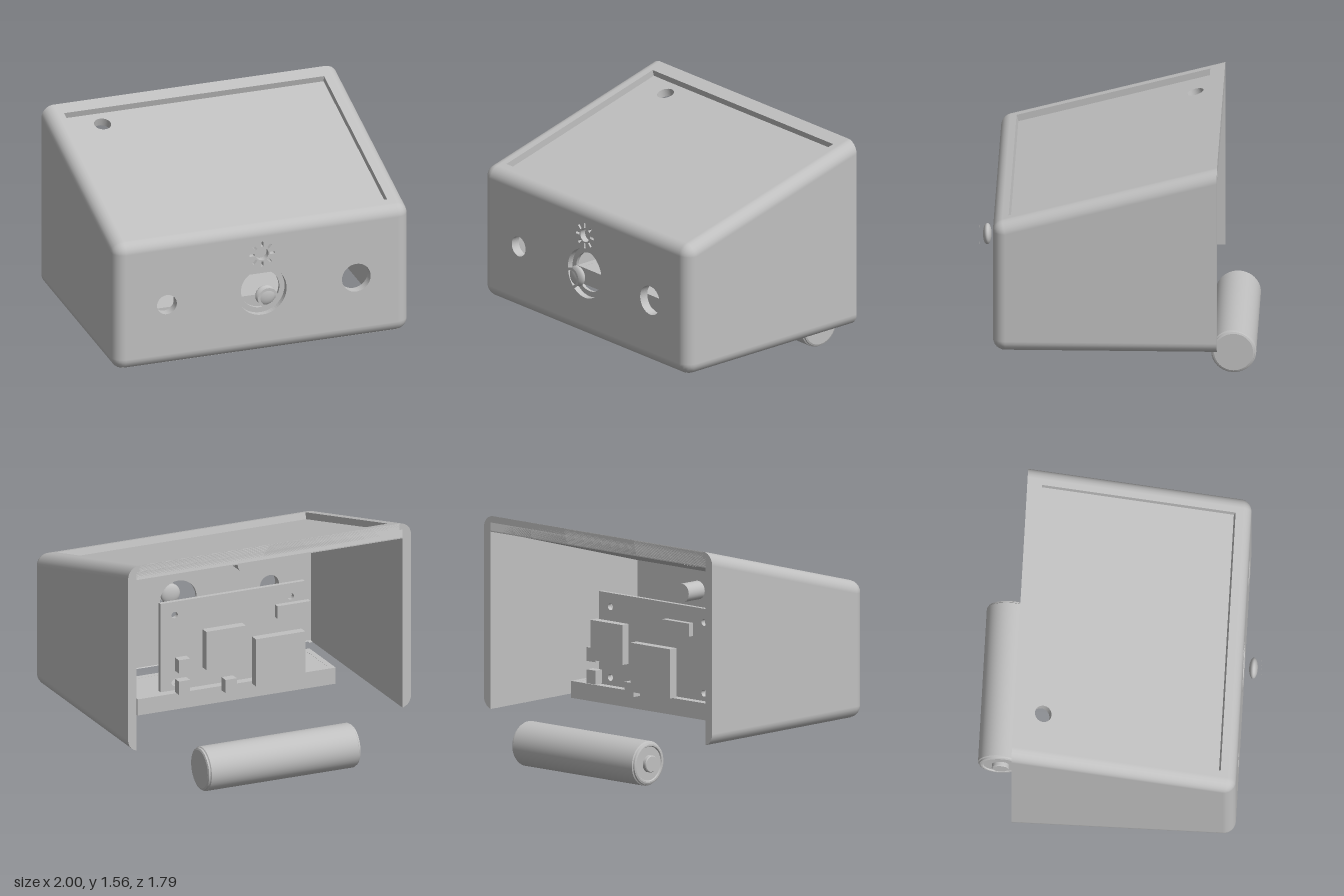
import * as THREE from 'three';

const R = 0.08, N = 6, A = Math.PI / 12;          // edge fillet, fillet segments, lid slope
const BACK = -0.655, FRONT = 0.78, BOTTOM = 0.3, TOP = 1.56;
const COS = Math.cos(A), SIN = Math.sin(A);
const topY = z => TOP - (z - BACK) * Math.tan(A);
const INNER_X = 0.94, INNER_Z = 0.72, CEILING = 0.1 / COS;

const grey = new THREE.MeshStandardMaterial({ color: 0xc0c0c0, side: THREE.DoubleSide });
grey.name = 'plain grey';

function add(parent, name, geometry, x = 0, y = 0, z = 0) {
  const mesh = new THREE.Mesh(geometry, grey);
  mesh.name = name;
  mesh.position.set(x, y, z);
  parent.add(mesh);
  return mesh;
}

// box given by its limits
function block(parent, name, x0, x1, y0, y1, z0, z1) {
  return add(parent, name, new THREE.BoxGeometry(x1 - x0, y1 - y0, z1 - z0),
    (x0 + x1) / 2, (y0 + y1) / 2, (z0 + z1) / 2);
}

const polygon = pts => new THREE.Shape(pts.map(p => new THREE.Vector2(p[0], p[1])));
const rect = (x0, x1, y0, y1) => polygon([[x0, y0], [x1, y0], [x1, y1], [x0, y1]]);
const circle = (x, y, r) => new THREE.Path().absarc(x, y, r, 0, Math.PI * 2, true);

function slab(shape, holes, z0, z1) {
  shape.holes.push(...holes);
  return new THREE.ExtrudeGeometry(shape, { depth: z1 - z0, bevelEnabled: false, curveSegments: 32 })
    .translate(0, 0, z0);
}

// fillet stations across the width: x position, inset and angle
const stations = [];
for (const s of [-1, 1]) {
  for (let k = 0; k <= N; k++) {
    const phi = (s < 0 ? N - k : k) / N * Math.PI / 2;
    stations.push({ x: s * (1 - R + R * Math.sin(phi)), d: R * (1 - Math.cos(phi)), phi, s });
  }
}
const C1 = [FRONT - R, topY(FRONT - R) - R / COS], C2 = [FRONT - R, BOTTOM + R];

// side profile (z, y, normal z, normal y) at a given inset
function profile(d) {
  const pts = [[BACK, TOP - d / COS, SIN, COS]], r = R - d;
  const arc = (c, from, to) => {
    for (let k = 0; k <= N; k++) {
      const t = from + (to - from) * k / N, nz = Math.cos(t), ny = Math.sin(t);
      pts.push([c[0] + r * nz, c[1] + r * ny, nz, ny]);
    }
  };
  arc(C1, Math.PI / 2 - A, 0);
  arc(C2, 0, -Math.PI / 2);
  pts.push([BACK, BOTTOM + d, 0, -1]);
  return pts;
}

// rounded edges of the case; the flat panels between them are separate
function filletGeometry() {
  const pos = [], nor = [], idx = [], cols = 2 * N + 4, last = cols - 2;
  for (const { x, d, phi, s } of stations) {
    for (const [z, y, nz, ny] of profile(d)) {
      pos.push(x, y, z);
      nor.push(s * Math.sin(phi), ny * Math.cos(phi), nz * Math.cos(phi));
    }
  }
  for (let i = 0; i < stations.length - 1; i++) {
    const middle = i === N, near = Math.abs(i - N) <= 1;
    for (let j = 0; j < cols - 1; j++) {
      if (middle && (j === 0 || j === N + 1 || j === last - 1)) continue;
      if (near && j === last) continue;
      const a = i * cols + j, b = a + cols;
      idx.push(a, a + 1, b, b, a + 1, b + 1);
    }
  }
  const g = new THREE.BufferGeometry();
  g.setAttribute('position', new THREE.Float32BufferAttribute(pos, 3));
  g.setAttribute('normal', new THREE.Float32BufferAttribute(nor, 3));
  g.setIndex(idx);
  return g;
}

// layer of the sloping lid, cut off flush with the open back
function lidLayer(parent, name, shape, holes, w0, w1) {
  const g = slab(shape, holes, -w1, -w0).rotateX(A - Math.PI / 2).translate(0, TOP, BACK);
  const p = g.attributes.position;
  for (let i = 0; i < p.count; i++) p.setZ(i, Math.max(p.getZ(i), BACK));
  add(parent, name, g);
}

function buildCase() {
  const shell = new THREE.Group();
  shell.name = 'case';
  add(shell, 'roundedEdges', filletGeometry());

  // lid with a shallow recess and a small round hole
  const vEnd = (C1[0] + R * SIN - BACK) / COS;
  lidLayer(shell, 'lidFrame', rect(R - 1, 1 - R, -vEnd, 0), [rect(-0.88, 0.88, -1.382, -0.098)], 0, 0.045);
  lidLayer(shell, 'lidFloor', rect(-INNER_X, INNER_X, -vEnd, 0), [circle(-0.65, -0.204, 0.055)], 0.045, 0.1);

  // front wall: counterbored centre opening, two side holes, engraved sun mark
  const sideHoles = () => [circle(-0.645, 0.73, 0.067), circle(0.637, 0.73, 0.097)];
  const sun = [circle(0, 0.99, 0.043)];
  for (let k = 0; k < 8; k++) {
    const t = k * Math.PI / 4, c = Math.cos(t), s = Math.sin(t);
    sun.push(polygon([[0.052, -0.008], [0.084, -0.008], [0.088, 0], [0.084, 0.008], [0.052, 0.008]]
      .map(([u, v]) => [u * c - v * s, 0.99 + u * s + v * c])));
  }
  add(shell, 'frontPanel', slab(rect(R - 1, 1 - R, C2[1], C1[1]),
    [...sideHoles(), circle(0, 0.73, 0.165), ...sun], 0.74, FRONT));
  add(shell, 'frontInnerPanel', slab(rect(-INNER_X, INNER_X, BOTTOM + 0.01, 1.11),
    [...sideHoles(), circle(0, 0.73, 0.13)], INNER_Z, 0.74));

  // outer and inner faces of the side walls
  const outer = polygon([[BACK, BOTTOM + R], C2, C1, [BACK, TOP - R / COS]]);
  const inner = polygon([[BACK, BOTTOM + 0.003], [INNER_Z, BOTTOM + 0.003],
    [INNER_Z, topY(INNER_Z) - CEILING], [BACK, TOP - CEILING]]);
  for (const s of [-1, 1]) {
    for (const [name, shape, x, face] of [['sideOuter', outer, 1, s], ['sideInner', inner, INNER_X, -s]]) {
      const g = new THREE.ShapeGeometry(shape).rotateY(-Math.PI / 2);
      if (face > 0) g.scale(-1, 1, 1).rotateY(Math.PI).scale(1, 1, -1);
      add(shell, name, g, s * x);
    }
  }

  // rim around the open back
  const right = stations.slice(N + 2);
  const half = right.map(q => [q.x, BOTTOM + q.d])
    .concat(stations.slice(N + 1).reverse().map(q => [q.x, TOP - q.d / COS]));
  const rim = [...half, ...half.slice().reverse().map(([x, y]) => [-x, y]),
    [-INNER_X, BOTTOM + 0.003], [-INNER_X, TOP - CEILING], [INNER_X, TOP - CEILING], [INNER_X, BOTTOM + 0.003]];
  const rimGeo = new THREE.ShapeGeometry(polygon(rim.map(([x, y]) => [-x, y]))).rotateY(Math.PI);
  add(shell, 'backRim', rimGeo, 0, 0, BACK);

  // mounting posts behind the front wall
  for (const x of [-0.41, 0.41]) for (const y of [0.5, 0.96]) {
    add(shell, 'mountingPost', new THREE.CylinderGeometry(0.06, 0.06, 0.15, 32).rotateX(Math.PI / 2), x, y, 0.645);
  }
  return shell;
}

function buildBoard() {
  const board = new THREE.Group();
  board.name = 'circuitBoard';
  const holes = [];
  for (const x of [-0.41, 0.41]) for (const y of [0.5, 0.96]) holes.push(circle(x, y, 0.022));
  add(board, 'boardPlate', slab(rect(-0.51, 0.51, 0.42, 1.05), holes, -0.1, -0.07));
  block(board, 'sensorBlock', -0.105, 0.105, 0.625, 0.835, -0.07, 0.03);
  block(board, 'squareModule', 0.04, 0.32, 0.665, 0.925, -0.385, -0.325);
  block(board, 'largeModule', -0.38, -0.03, 0.5, 0.82, -0.385, -0.325);
  block(board, 'flatChip', -0.46, -0.225, 0.9, 0.985, -0.295, -0.255);
  for (const [x, y] of [[0.42, 0.67], [0.42, 0.525], [0.09, 0.485]]) {
    block(board, 'smallConnector', x - 0.04, x + 0.04, y - 0.045, y + 0.045, -0.27, -0.21);
  }
  return board;
}

function buildBattery() {
  const battery = new THREE.Group();
  battery.name = 'battery';
  const pts = [[0, -0.54], [0.125, -0.54], [0.136, -0.535], [0.138, -0.525], [0.145, -0.52], [0.145, 0.52],
    [0.138, 0.525], [0.136, 0.535], [0.125, 0.54], [0.115, 0.54], [0.11, 0.532], [0.055, 0.532],
    [0.055, 0.555], [0.05, 0.56], [0, 0.56]];
  // separate bands keep the steps crisp
  for (let i = 0; i < pts.length - 1; i++) {
    const band = new THREE.LatheGeometry(pts.slice(i, i + 2).map(p => new THREE.Vector2(...p)), 48);
    add(battery, 'batteryBand', band.rotateZ(Math.PI / 2));
  }
  battery.position.set(0, 0.145, -0.75);
  return battery;
}

export function createModel() {
  const model = new THREE.Group();
  model.name = 'slopedCaseWithParts';
  model.add(buildCase(), buildBoard(), buildBattery());

  // battery tray, open downwards
  const frame = slab(rect(-0.7, 0.7, -0.235, 0.16), [rect(-0.66, 0.66, -0.195, 0.12)], 0, 0.11).rotateX(-Math.PI / 2);
  add(model, 'batteryTray', frame, 0, 0.34, 0);
  block(model, 'trayRoof', -0.66, 0.66, 0.425, 0.449, -0.12, 0.195);

  // lens and thin ring in front of the centre opening
  add(model, 'lens', new THREE.SphereGeometry(0.068, 32, 20).scale(1, 1, 0.41), 0, 0.73, 0.842);
  add(model, 'lensRing', new THREE.RingGeometry(0.05, 0.068, 40), 0, 0.73, 0.893);
  return model;
}
